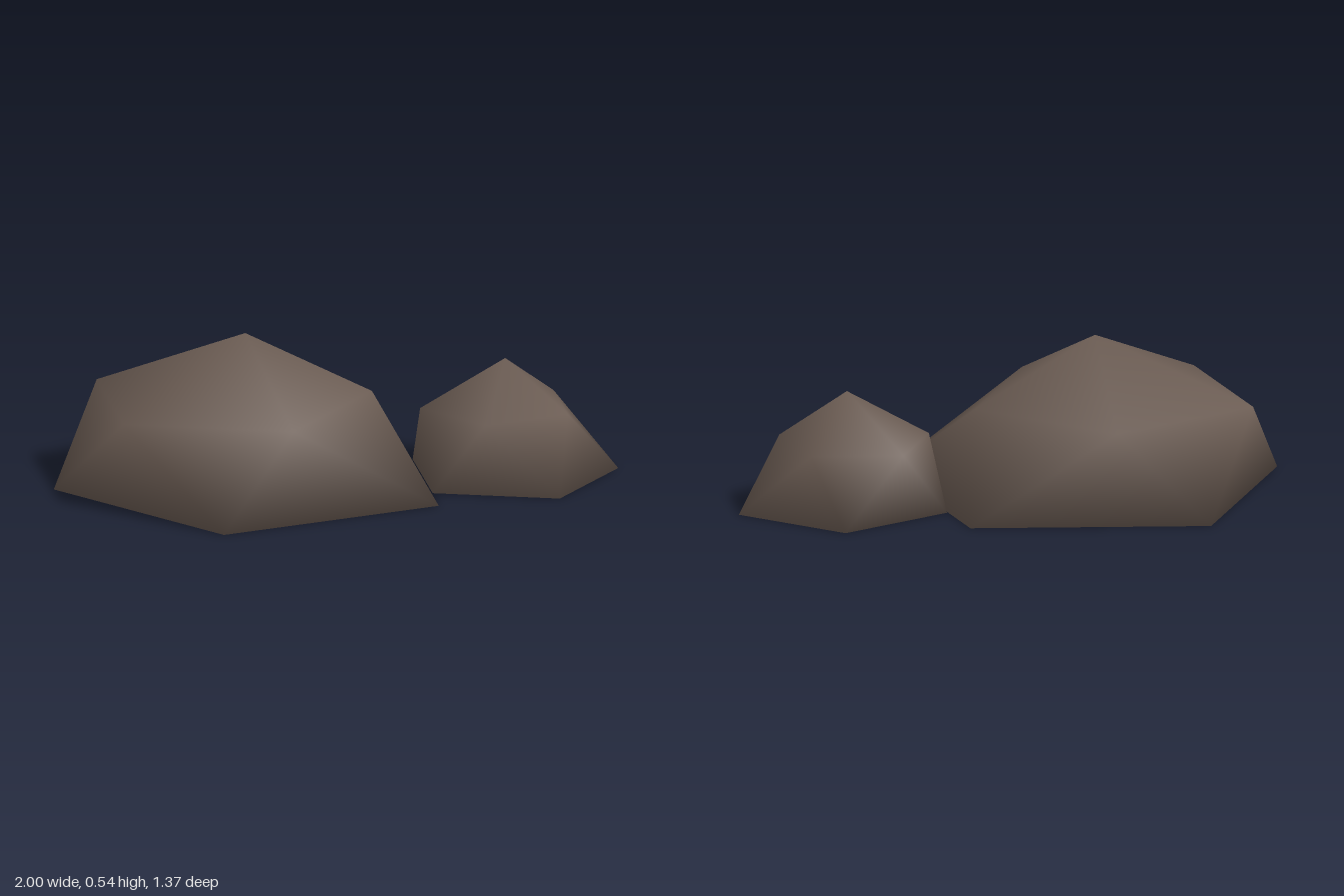
import * as THREE from 'three';

const SIDES = 5;

// Pentagon of points at height y, first corner at angle start
function pentagon({ x, y, z, r }, start) {
  return Array.from({ length: SIDES }, (_, i) => {
    const a = start + (i * 2 * Math.PI) / SIDES;
    return [x + r * Math.cos(a), y, z + r * Math.sin(a)];
  });
}

// Flat-bottomed, twenty-faced boulder with shared vertices for soft shading
function makeRock(name, material, { base, shoulder, peak, start }) {
  const points = [
    ...pentagon(base, start),
    ...pentagon(shoulder, start + Math.PI / SIDES),
    peak,
    [base.x, base.y, base.z],
  ];
  const top = 2 * SIDES, bottom = top + 1;
  const faces = [];
  for (let i = 0; i < SIDES; i++) {
    const j = (i + 1) % SIDES;
    const s = SIDES + i, t = SIDES + j;
    faces.push(i, s, j); // lower sides
    faces.push(s, t, j); // upper sides
    faces.push(top, t, s); // crown
    faces.push(bottom, i, j); // underside
  }
  const geometry = new THREE.BufferGeometry();
  geometry.setAttribute('position', new THREE.Float32BufferAttribute(points.flat(), 3));
  geometry.setIndex(faces);
  geometry.computeVertexNormals();
  const mesh = new THREE.Mesh(geometry, material);
  mesh.name = name;
  return mesh;
}

export function createModel() {
  const group = new THREE.Group();
  group.name = 'rocks';
  const stone = new THREE.MeshStandardMaterial({ color: 0x6b5c53 });
  stone.name = 'brown stone';

  group.add(
    makeRock('largeRock', stone, {
      base: { x: -0.281, y: 0, z: 0, r: 0.719 },
      shoulder: { x: -0.384, y: 0.31, z: 0, r: 0.514 },
      peak: [-0.32, 0.54, 0],
      start: Math.PI,
    }),
    makeRock('smallRock', stone, {
      base: { x: 0.616, y: 0, z: 0.03, r: 0.384 },
      shoulder: { x: 0.577, y: 0.24, z: 0, r: 0.276 },
      peak: [0.6, 0.415, 0.02],
      start: 0,
    }),
  );
  return group;
}
